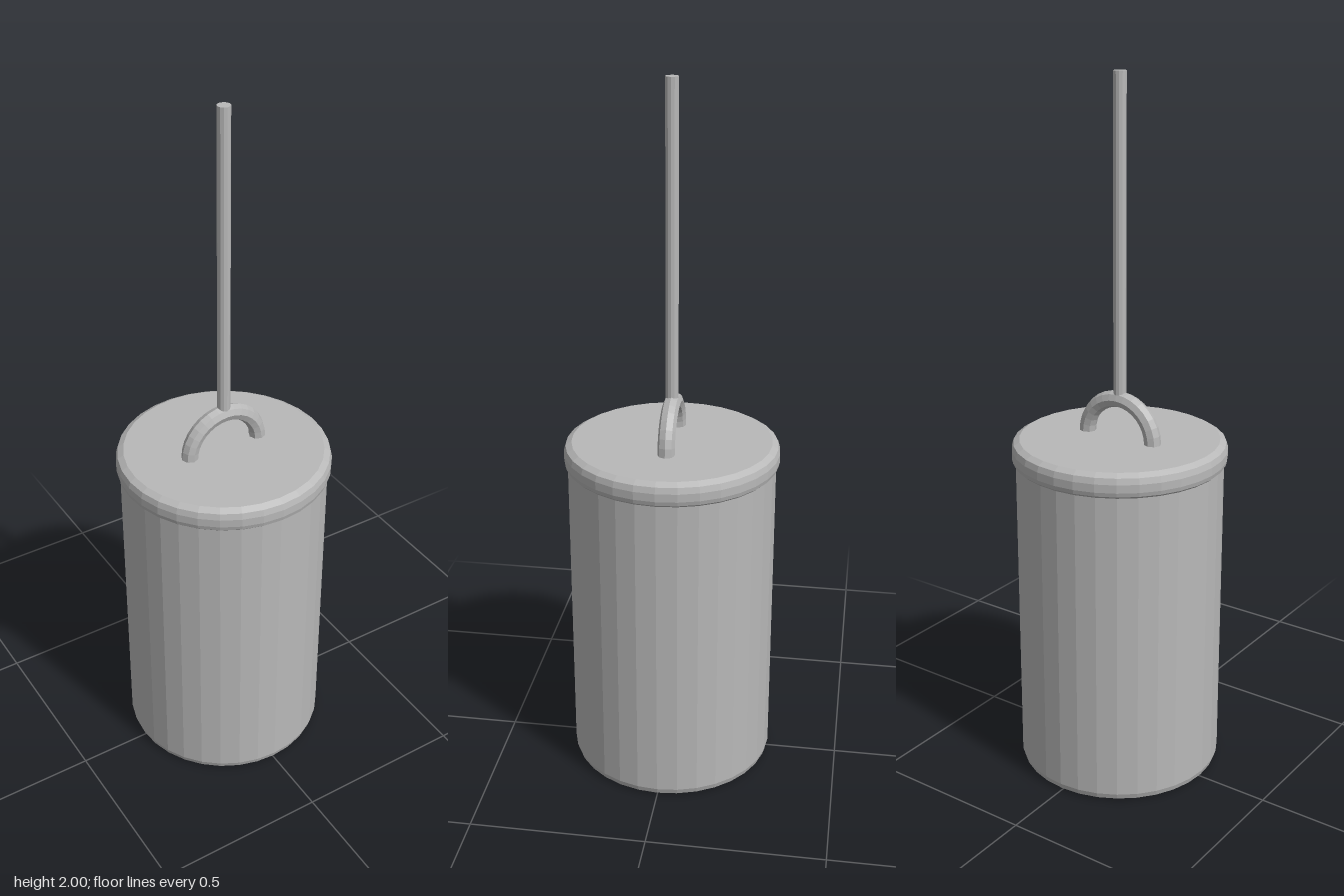
import * as THREE from 'three';

export function createModel() {
  const model = new THREE.Group();
  const steel = new THREE.MeshStandardMaterial({ color: 0xb8b8b8, flatShading: true });
  steel.name = 'grey steel';

  function add(name, geometry, y = 0) {
    const mesh = new THREE.Mesh(geometry, steel);
    mesh.name = name;
    mesh.position.y = y;
    model.add(mesh);
  }
  const lathe = (profile) =>
    new THREE.LatheGeometry(profile.map(([r, y]) => new THREE.Vector2(r, y)), 32);

  // Canister with a bevelled foot
  add('canister', lathe([
    [0, 0], [0.28, 0], [0.29, 0.006], [0.295, 0.022], [0.295, 0.95],
  ]));

  // Overhanging lid with rounded edges
  add('lid', lathe([
    [0, 0.93], [0.293, 0.93], [0.302, 0.938], [0.305, 0.95],
    [0.305, 0.973], [0.3, 0.99], [0.283, 1], [0, 1],
  ]));

  // Arched handle standing on the lid
  add('handle', new THREE.TorusGeometry(0.111, 0.024, 8, 16, Math.PI), 1);

  // Long rod rising from the handle
  add('rod', new THREE.CylinderGeometry(0.018, 0.018, 0.88, 12), 1.56);

  return model;
}
